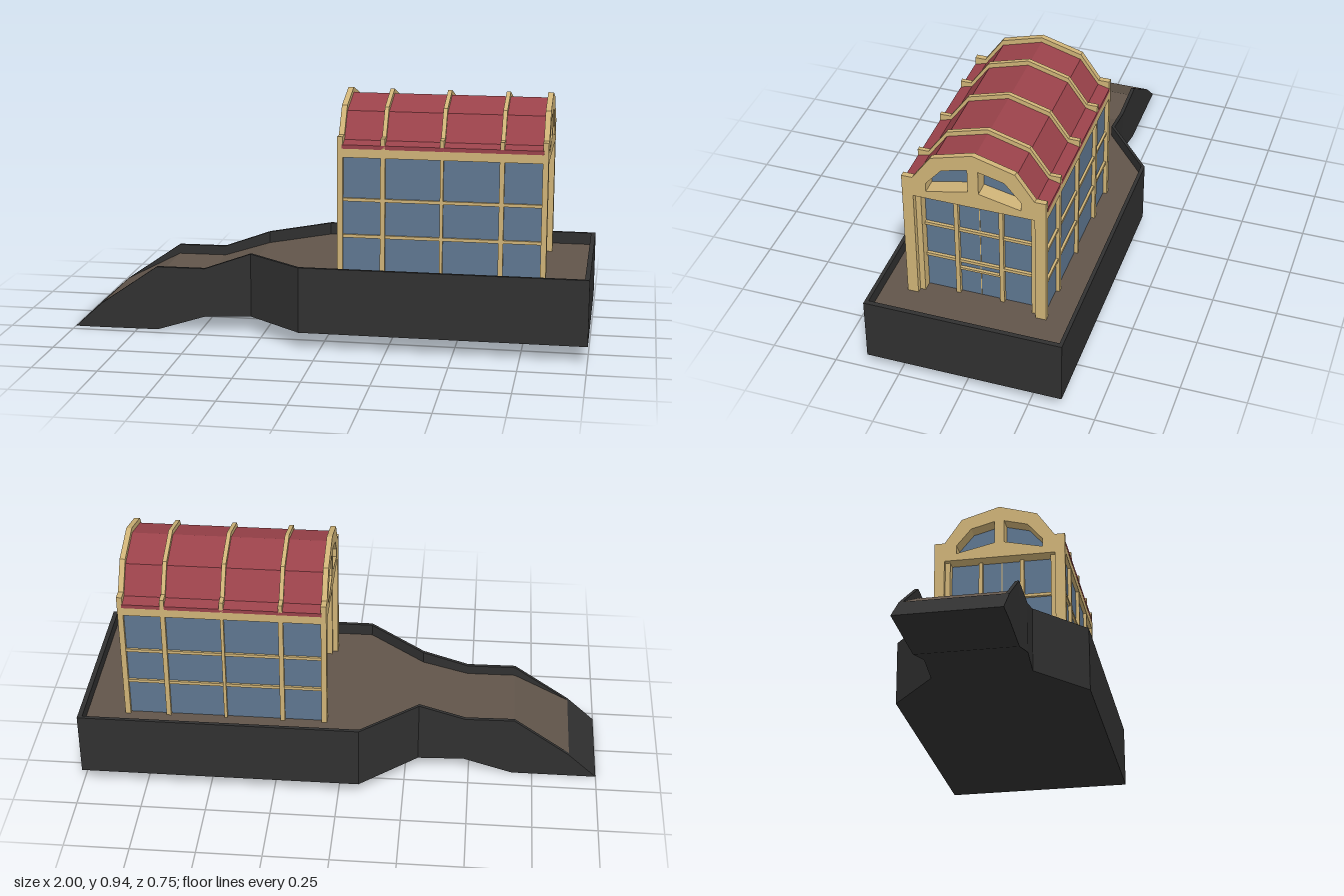
import * as THREE from 'three';

const mat = (name, color) => {
  const m = new THREE.MeshStandardMaterial({ color });
  m.name = name;
  return m;
};

export function createModel() {
  const root = new THREE.Group();
  root.name = 'glassHallOnPlinth';
  const stone = mat('dark stone', 0x303030);
  const soil = mat('brown ground', 0x61554a);
  const tan = mat('tan frame', 0xcfb377);
  const glass = mat('blue glass', 0x5e7690);
  const red = mat('red roof', 0x9a424a);
  const black = mat('black doorway', 0x17181a);

  const add = (name, geo, material, parent = root) => {
    const m = new THREE.Mesh(geo, material);
    m.name = name;
    parent.add(m);
    return m;
  };
  // Box given by its two opposite corners
  const box = (name, x0, x1, y0, y1, z0, z1, material, parent) => {
    const g = new THREE.BoxGeometry(Math.abs(x1 - x0), y1 - y0, z1 - z0);
    g.translate((x0 + x1) / 2, (y0 + y1) / 2, (z0 + z1) / 2);
    return add(name, g, material, parent);
  };
  // Outline in (z, y) extruded along x
  const slab = (name, pts, holes, xa, xb, material, parent) => {
    const v = (p) => p.map(([z, y]) => new THREE.Vector2(z, y));
    const shape = new THREE.Shape(v(pts));
    holes.forEach((h) => shape.holes.push(new THREE.Path(v(h))));
    const g = new THREE.ExtrudeGeometry(shape, { depth: Math.abs(xb - xa), bevelEnabled: false });
    g.rotateY(Math.PI / 2);
    g.translate(Math.min(xa, xb), 0, 0);
    return add(name, g, material, parent);
  };
  const mirrored = (half) => [...half, ...half.filter((p) => p[0] > 0).reverse().map(([z, y]) => [-z, y])];

  // Plinth stations: x, back z, front z, bottom y, rim y, floor y
  const stations = [
    [-1, -0.17, 0.212, 0, 0, 0],
    [-0.89, -0.17, 0.212, 0, 0.1, 0.1],
    [-0.67, -0.17, 0.206, 0, 0.252, 0.215],
    [-0.48, -0.175, 0.203, 0.06, 0.252, 0.215],
    [-0.3, -0.19, 0.19, 0.065, 0.315, 0.27],
    [-0.08, -0.376, 0.37, 0.065, 0.317, 0.27],
    [0.982, -0.376, 0.37, 0.065, 0.317, 0.27],
    [0.982, -0.376, 0.37, 0.065, 0.317, 0.317],
    [1, -0.376, 0.37, 0.065, 0.317, 0.317],
  ];
  const rim = 0.014;
  const rings = stations.map(([x, zb, zf, b, t, f]) => [
    [x, b, zf], [x, t, zf], [x, t, zf - rim], [x, f, zf - rim],
    [x, f, zb + rim], [x, t, zb + rim], [x, t, zb], [x, b, zb],
  ]);
  const stoneFaces = [], soilFaces = [];
  const quad = (out, a, b, c, d) => out.push(...a, ...b, ...c, ...a, ...c, ...d);
  for (let i = 0; i < rings.length - 1; i++) {
    for (let k = 0; k < 8; k++) {
      const n = (k + 1) % 8;
      const isSoil = k === 3 && i >= 1 && i <= 5;
      quad(isSoil ? soilFaces : stoneFaces, rings[i][k], rings[i + 1][k], rings[i + 1][n], rings[i][n]);
    }
  }
  const end = rings[rings.length - 1];
  quad(stoneFaces, end[0], end[7], end[6], end[1]);
  const fromFaces = (arr) => {
    const g = new THREE.BufferGeometry();
    g.setAttribute('position', new THREE.Float32BufferAttribute(arr, 3));
    g.computeVertexNormals();
    return g;
  };
  add('plinth', fromFaces(stoneFaces), stone);
  add('floor', fromFaces(soilFaces), soil);

  // Hall
  const hall = new THREE.Group();
  hall.name = 'hall';
  root.add(hall);
  const C = 0.4425, y0 = 0.265;

  // Glass core and side panes
  slab('glassCore', mirrored([[0.24, y0], [0.24, 0.755], [0.205, 0.77], [0.14, 0.865], [0, 0.905]]),
    [], C - 0.332, C + 0.332, glass, hall);
  for (const s of [-1, 1]) {
    const side = (name, x0, x1, ya, yb, za, zb, m) =>
      box(name, x0, x1, ya, yb, Math.min(s * za, s * zb), Math.max(s * za, s * zb), m, hall);
    side('sideGlass', C - 0.375, C + 0.375, y0, 0.73, 0.24, 0.25, glass);
    side('sideBeam', C - 0.375, C + 0.375, 0.722, 0.768, 0.235, 0.265, tan);
    for (const y of [0.42, 0.56]) side('sideRail', C - 0.375, C + 0.375, y - 0.006, y + 0.006, 0.245, 0.259, tan);
    for (const [x, w] of [[0.222, 0.009], [0.4425, 0.006], [0.665, 0.009]])
      side('sidePost', x - w, x + w, y0, 0.73, 0.245, 0.264, tan);
  }

  // Roof shell and ribs
  const roofTop = [[0.266, 0.77], [0.222, 0.782], [0.152, 0.88], [0, 0.925]];
  const roofBottom = [[0, 0.9], [0.14, 0.86], [0.205, 0.762], [0.266, 0.755]];
  const full = (half) => [...half, ...half.slice(0, -1).reverse().map(([z, y]) => [-z, y])];
  const under = [...roofBottom.slice(1).reverse().map(([z, y]) => [-z, y]), ...roofBottom];
  slab('roof', [...full(roofTop), ...under], [], C - 0.375, C + 0.375, red, hall);
  const ribTop = [[0.266, 0.797], [0.225, 0.797], [0.154, 0.898], [0, 0.943]];
  for (const x of [0.222, 0.4425, 0.665])
    slab('roofRib', [...full(ribTop), ...under], [], x - 0.008, x + 0.008, tan, hall);

  // Gable ends with arched windows, mullions and doors
  const window1 = [[0.02, 0.88], [0.115, 0.855], [0.175, 0.785], [0.175, 0.75], [0.02, 0.785]];
  const window2 = window1.map(([z, y]) => [-z, y]);
  const gable = (top, w) => [
    [-w, y0], [-w, 0.72], [w, 0.72], [w, y0], ...full([[top[0][0], y0], ...top]),
  ];
  const innerTop = [[0.238, 0.76], [0.21, 0.768], [0.145, 0.87], [0, 0.912]];
  for (const s of [-1, 1]) {
    const X = (d) => C + s * d;
    slab('gableFrame', gable([[0.265, 0.8], [0.224, 0.8], [0.154, 0.9], [0, 0.945]], 0.224),
      [window1, window2], X(0.371), X(0.392), tan, hall);
    slab('gableReveal', gable(innerTop, 0.204), [window1, window2], X(0.331), X(0.371), tan, hall);
    for (const z of [-0.084, 0.084])
      box('endPost', X(0.328), X(0.348), y0, 0.722, z - 0.008, z + 0.008, tan, hall);
    for (const y of [0.42, 0.563])
      box('endRail', X(0.328), X(0.344), y - 0.006, y + 0.006, -0.206, 0.206, tan, hall);
    box('doorRail', X(0.328), X(0.344), 0.38, 0.389, -0.078, 0.078, tan, hall);
    box('doorSeam', X(0.328), X(0.334), y0, 0.72, -0.0015, 0.0015, tan, hall);
    if (s < 0) for (const z of [-0.039, 0.039])
      box('doorway', X(0.33), X(0.335), y0, 0.38, z - 0.032, z + 0.032, black, hall);
  }
  return root;
}
